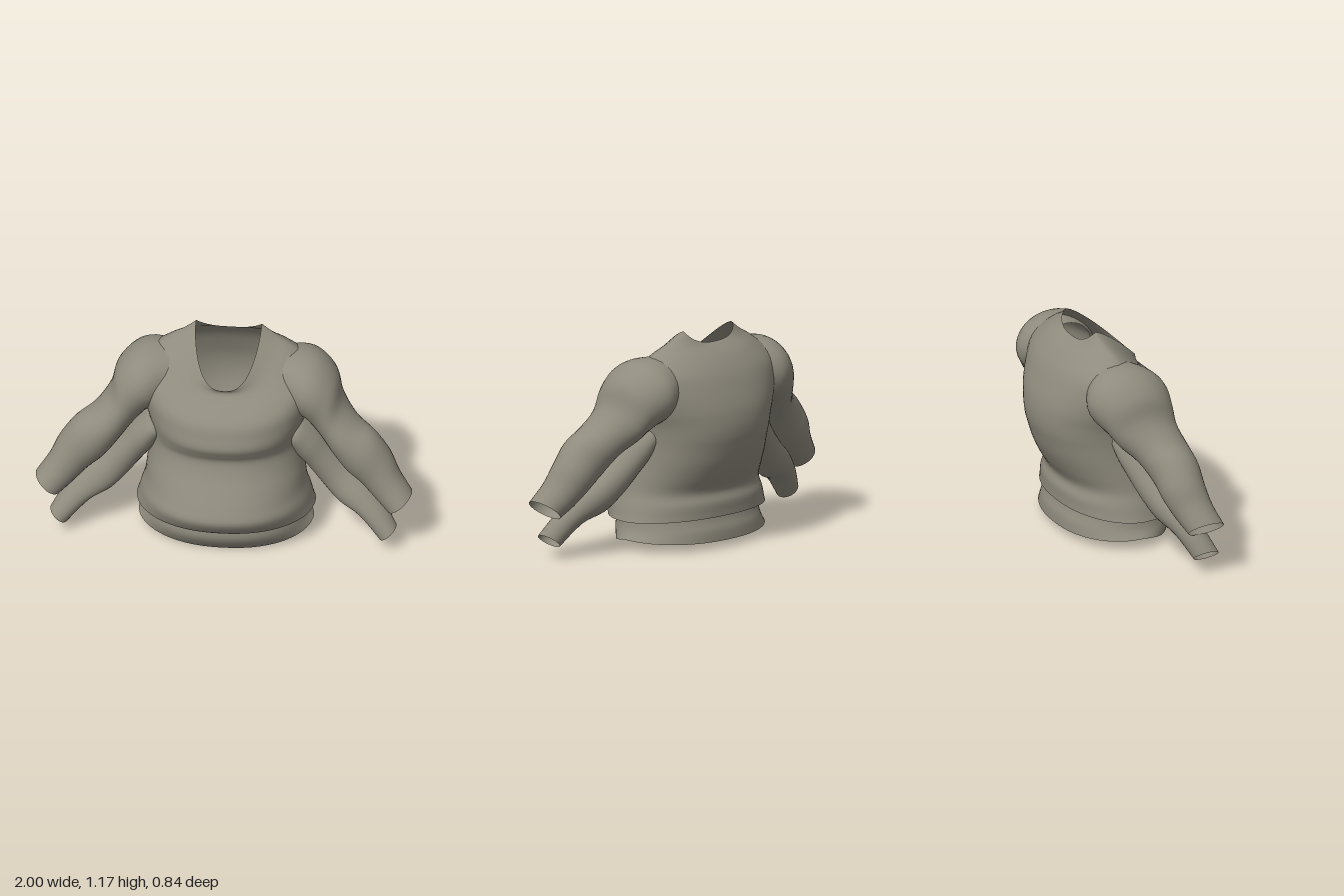
import * as THREE from 'three';

const cloth = new THREE.MeshStandardMaterial({ color: 0x8f8b7e, side: THREE.DoubleSide });
cloth.name = 'cloth';

// Catmull-Rom blend of a list of number rows, u from 0 to 1
function blend(rows, u) {
  const f = u * (rows.length - 1);
  const i = Math.min(Math.floor(f), rows.length - 2);
  const t = f - i;
  const a = rows[Math.max(i - 1, 0)], b = rows[i], c = rows[i + 1];
  const d = rows[Math.min(i + 2, rows.length - 1)];
  return b.map((v, k) => v + 0.5 * t * (c[k] - a[k]
    + t * (2 * a[k] - 5 * v + 4 * c[k] - d[k] + t * (3 * (v - c[k]) + d[k] - a[k]))));
}

// Open smooth skin through closed rings; place(row, angle) gives a point
function loft(name, rows, place, sides, perRow) {
  const steps = (rows.length - 1) * perRow;
  const pos = [], index = [];
  for (let j = 0; j <= steps; j++) {
    const row = blend(rows, j / steps);
    for (let i = 0; i < sides; i++) pos.push(...place(row, (i / sides) * Math.PI * 2));
  }
  for (let j = 0; j < steps; j++) {
    for (let i = 0; i < sides; i++) {
      const a = j * sides + i, b = j * sides + (i + 1) % sides;
      index.push(a, b, b + sides, a, b + sides, a + sides);
    }
  }
  const geo = new THREE.BufferGeometry();
  geo.setAttribute('position', new THREE.Float32BufferAttribute(pos, 3));
  geo.setIndex(index);
  geo.computeVertexNormals();
  const mesh = new THREE.Mesh(geo, cloth);
  mesh.name = name;
  return mesh;
}

// Body ring: front y, front z, side y, half width, side z, back y, back z, squareness
function bodyPoint([yf, zf, ys, w, zs, yb, zb, e], a) {
  const s = Math.sin(a), c = Math.cos(a);
  const k = Math.pow(Math.abs(c), 1.3);
  return [
    w * Math.sign(s) * Math.pow(Math.abs(s), e),
    ys + ((c > 0 ? yf : yb) - ys) * k,
    zs + (c > 0 ? zf - zs : zs - zb) * c,
  ];
}

// Sleeve ring: top x, top y, bottom x, bottom y, front z, back z
const sleevePoint = (side) => ([xt, yt, xb, yb, zf, zb], a) => {
  const s = Math.sin(a * side), c = Math.cos(a);
  return [
    side * ((xt + xb) / 2 + (xt - xb) / 2 * c),
    (yt + yb) / 2 + (yt - yb) / 2 * c,
    (zf + zb) / 2 + (zf - zb) / 2 * s,
  ];
};

// Hem, belly, waist, chest, shoulders, neckline
const bodyRows = [
  [0.155, 0.36, 0.16, 0.475, 0, 0.17, -0.295, 0.92],
  [0.18, 0.385, 0.19, 0.465, 0, 0.2, -0.295, 0.92],
  [0.245, 0.42, 0.245, 0.45, 0, 0.25, -0.295, 0.92],
  [0.31, 0.395, 0.31, 0.43, 0, 0.31, -0.28, 0.92],
  [0.39, 0.35, 0.39, 0.42, 0, 0.39, -0.325, 0.92],
  [0.47, 0.305, 0.47, 0.41, -0.01, 0.48, -0.37, 0.92],
  [0.55, 0.28, 0.55, 0.405, -0.02, 0.57, -0.4, 0.92],
  [0.6, 0.3, 0.61, 0.405, -0.03, 0.63, -0.415, 0.9],
  [0.65, 0.322, 0.68, 0.415, -0.04, 0.7, -0.42, 0.9],
  [0.71, 0.31, 0.76, 0.44, -0.06, 0.78, -0.41, 0.9],
  [0.78, 0.285, 0.87, 0.46, -0.08, 0.87, -0.38, 0.9],
  [0.84, 0.22, 0.98, 0.45, -0.09, 0.96, -0.34, 0.9],
  [0.885, 0.165, 1.07, 0.34, -0.1, 1.04, -0.28, 0.85],
  [0.91, 0.15, 1.12, 0.25, -0.12, 1.08, -0.23, 0.75],
  [0.93, 0.16, 1.17, 0.175, -0.14, 1.1, -0.2, 0.75],
];

// Underlayer showing below the hem
const bandRows = [
  [0, 0.265, 0.06, 0.465, 0, 0.04, -0.305, 0.9],
  [0.08, 0.32, 0.1, 0.435, 0, 0.1, -0.3, 0.9],
  [0.16, 0.32, 0.16, 0.42, 0, 0.16, -0.28, 0.9],
  [0.28, 0.3, 0.28, 0.4, 0, 0.28, -0.26, 0.9],
];

const upperSleeveRows = [
  [0.26, 1.04, 0.3, 0.74, 0.06, -0.25],
  [0.4, 1.05, 0.38, 0.7, 0.13, -0.3],
  [0.5, 1.02, 0.42, 0.68, 0.145, -0.29],
  [0.585, 0.93, 0.45, 0.65, 0.14, -0.25],
  [0.62, 0.81, 0.5, 0.6, 0.145, -0.2],
  [0.7, 0.71, 0.56, 0.53, 0.17, -0.12],
  [0.8, 0.64, 0.64, 0.43, 0.185, -0.07],
  [0.88, 0.53, 0.72, 0.36, 0.185, -0.05],
  [0.93, 0.43, 0.8, 0.28, 0.2, -0.01],
  [1.0, 0.33, 0.87, 0.22, 0.23, 0.03],
];

const lowerSleeveRows = [
  [0.355, 0.645, 0.355, 0.645, 0, 0],
  [0.4, 0.69, 0.32, 0.6, 0.13, -0.14],
  [0.49, 0.62, 0.36, 0.5, 0.13, -0.14],
  [0.56, 0.53, 0.43, 0.41, 0.11, -0.11],
  [0.66, 0.42, 0.51, 0.31, 0.11, -0.07],
  [0.76, 0.34, 0.6, 0.225, 0.15, -0.03],
  [0.855, 0.23, 0.71, 0.175, 0.19, 0.03],
  [0.92, 0.13, 0.83, 0.055, 0.23, 0.09],
];

export function createModel() {
  const model = new THREE.Group();
  model.name = 'fourSleevedShirt';
  model.add(loft('shirtBody', bodyRows, bodyPoint, 64, 4));
  model.add(loft('underlayerBand', bandRows, bodyPoint, 64, 4));
  for (const [label, side] of [['left', 1], ['right', -1]]) {
    model.add(loft(label + 'UpperSleeve', upperSleeveRows, sleevePoint(side), 32, 4));
    model.add(loft(label + 'LowerSleeve', lowerSleeveRows, sleevePoint(side), 32, 4));
  }
  return model;
}
